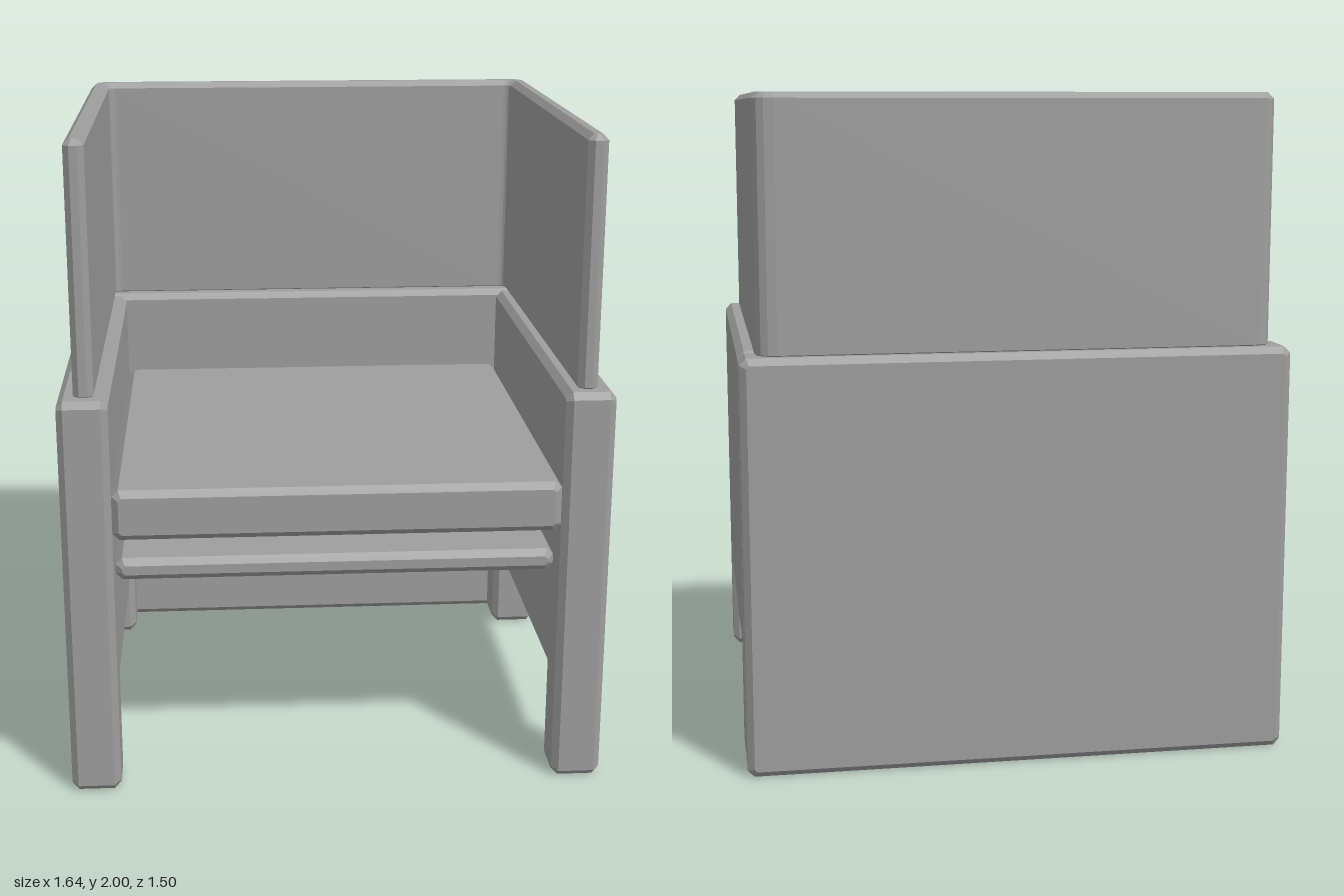
import * as THREE from 'three';

const grey = new THREE.MeshStandardMaterial({ color: 0x9e9e9e, flatShading: true });

// Closed outline from corners [x, y, radius, segments]; radius 0 keeps the corner sharp
function outline(corners) {
  const pts = [];
  const n = corners.length;
  corners.forEach(([x, y, r, seg = 1], i) => {
    const p = new THREE.Vector2(x, y);
    if (!r) { pts.push(p); return; }
    const toward = (c) => new THREE.Vector2(c[0], c[1]).sub(p).setLength(r).add(p);
    const a = toward(corners[(i + n - 1) % n]);
    const b = toward(corners[(i + 1) % n]);
    const curve = new THREE.QuadraticBezierCurve(a, p, b);
    pts.push(...curve.getPoints(seg));
  });
  return new THREE.Shape(pts);
}

// Extrusion of total length len along z from 0, with chamfered rims
function slab(corners, len, c) {
  const geo = new THREE.ExtrudeGeometry(outline(corners), {
    depth: len - 2 * c, bevelEnabled: true, bevelSegments: 1,
    bevelThickness: c, bevelSize: c, bevelOffset: -c,
  });
  return geo.translate(0, 0, c);
}

// Box with all edges chamfered, given by its limits
function chamferBox(x0, x1, y0, y1, z0, z1, c) {
  return slab([[x0, y0, c], [x1, y0, c], [x1, y1, c], [x0, y1, c]], z1 - z0, c).translate(0, 0, z0);
}

export function createModel() {
  const group = new THREE.Group();
  const add = (name, geo) => {
    const mesh = new THREE.Mesh(geo, grey);
    mesh.name = name;
    group.add(mesh);
  };
  const c = 0.02;

  add('backPanel', chamferBox(-0.82, 0.82, 0, 1.25, -0.75, -0.595, c));
  add('seatCushion', chamferBox(-0.67, 0.67, 0.818, 0.973, -0.6, 0.745, c));
  add('seatBoard', chamferBox(-0.67, 0.67, 0.653, 0.722, -0.6, 0.65, c));

  // Side panels with a cut-out that leaves two legs; outline is in (-z, y)
  const side = [
    [-0.75, 0, c], [-0.595, 0, c], [-0.595, 0.32, 0], [0.435, 0.32, 0],
    [0.435, 0, c], [0.595, 0, c], [0.595, 1.25, c], [-0.75, 1.25, c],
  ];
  for (const [name, x] of [['leftSidePanel', 0.67], ['rightSidePanel', -0.82]]) {
    add(name, slab(side, 0.15, c).rotateY(Math.PI / 2).translate(x, 0, 0));
  }

  // U-shaped privacy screen standing on the panels; outline is in (x, -z)
  const e = 0.018;
  const screen = [
    [-0.772, -0.7, e], [-0.712, -0.7, e], [-0.712, 0.65, 0.025, 4], [0.712, 0.65, 0.025, 4],
    [0.712, -0.7, e], [0.772, -0.7, e], [0.772, 0.71, 0.065, 4], [-0.772, 0.71, 0.065, 4],
  ];
  add('privacyScreen', slab(screen, 0.765, e).rotateX(-Math.PI / 2).translate(0, 1.235, 0));

  return group;
}
